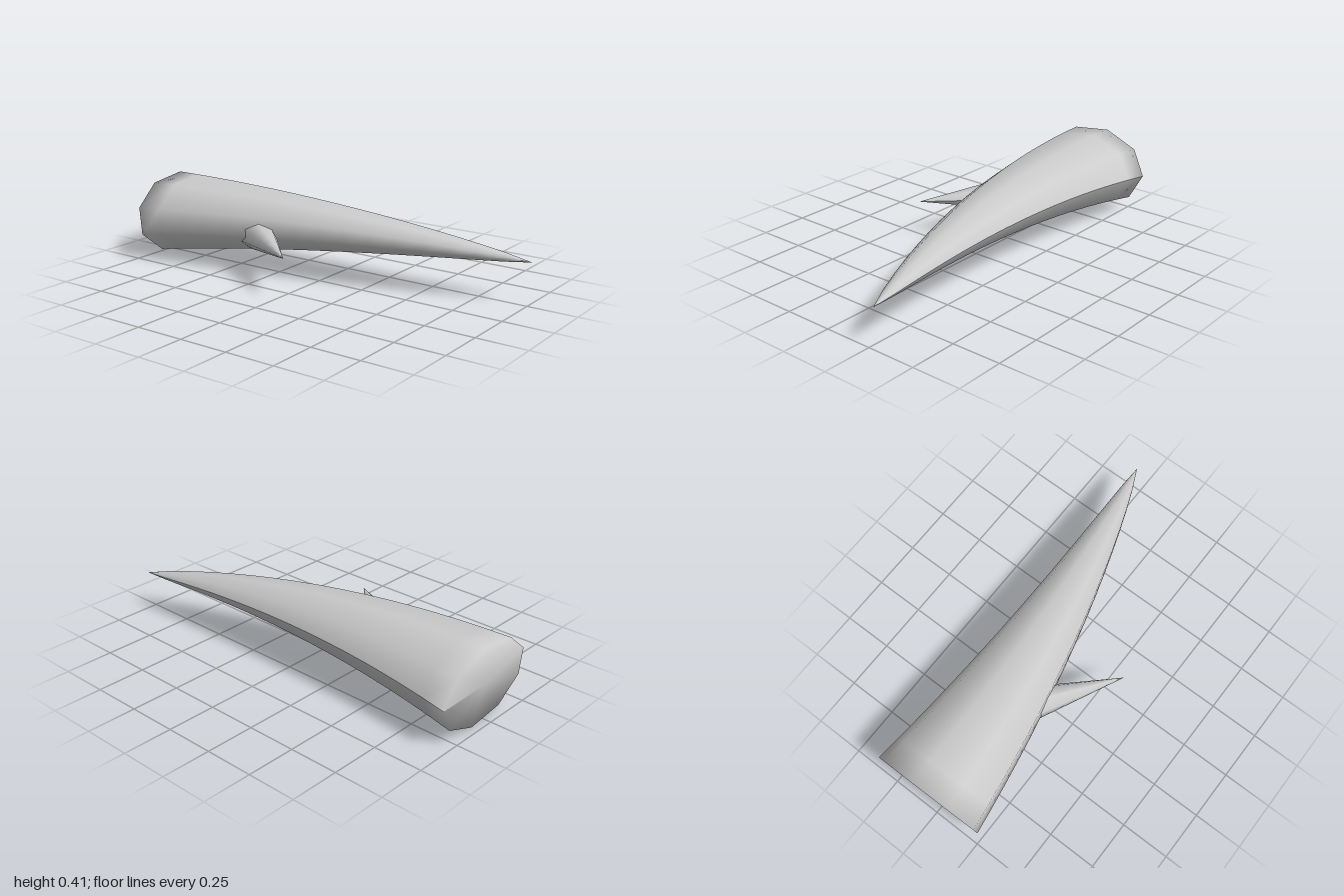
import * as THREE from 'three';

// Tapered spike swept along a path from base (t = 0) to tip (t = 1),
// with an open seam at angle 0 and a base cap sharing the rim's vertices.
function spikeGeometry(centre, taper, rx, ry, sides, segments) {
  const pos = [], index = [];
  const cols = sides + 1;
  const yAxis = new THREE.Vector3(0, 1, 0);
  for (let i = 0; i <= segments; i++) {
    const t = i / segments;
    const c = centre(t);
    const T = centre(t + 0.001).sub(centre(t - 0.001)).normalize();
    const side = new THREE.Vector3().crossVectors(yAxis, T).normalize();
    const up = new THREE.Vector3().crossVectors(T, side);
    const k = taper(t);
    for (let j = 0; j < cols; j++) {
      const a = (j / sides) * Math.PI * 2;
      const p = c.clone()
        .addScaledVector(side, Math.cos(a) * rx * k)
        .addScaledVector(up, Math.sin(a) * ry * k);
      pos.push(p.x, p.y, p.z);
    }
  }
  for (let i = 0; i < segments; i++) {
    for (let j = 0; j < sides; j++) {
      const a = i * cols + j, b = a + 1, d = a + cols, e = d + 1;
      index.push(a, b, d);
      if (i < segments - 1) index.push(b, e, d);
    }
  }
  // Base cap
  const c0 = centre(0);
  const mid = pos.length / 3;
  pos.push(c0.x, c0.y, c0.z);
  for (let j = 0; j < sides; j++) index.push(mid, j + 1, j);

  const g = new THREE.BufferGeometry();
  g.setAttribute('position', new THREE.Float32BufferAttribute(pos, 3));
  g.setIndex(index);
  g.computeVertexNormals();
  return g;
}

export function createModel() {
  const group = new THREE.Group();
  group.name = 'branchedHorn';
  const material = new THREE.MeshStandardMaterial({ color: 0xcccccc });

  // Main horn: gently bowed in plan and in height
  const hornPath = (t) => {
    const z = -0.982 + 1.982 * t;
    return new THREE.Vector3(0.105 + 0.1225 * z + 0.058 * z * z, 0.257 - 0.05 * z * z, z);
  };
  const hornTaper = (t) => Math.pow(Math.max(0, 1 - t), 0.83);
  const horn = new THREE.Mesh(spikeGeometry(hornPath, hornTaper, 0.3, 0.208, 9, 16), material);
  horn.name = 'horn';
  group.add(horn);

  // Side spike: straight cone growing out of the horn's right side
  const tip = new THREE.Vector3(-0.34, 0.207, 0.04);
  const base = tip.clone().addScaledVector(new THREE.Vector3(0.592, 0, -0.806), 0.55);
  const spikePath = (t) => base.clone().lerp(tip, t);
  const spike = new THREE.Mesh(spikeGeometry(spikePath, (t) => 1 - t, 0.101, 0.101, 7, 8), material);
  spike.name = 'sideSpike';
  group.add(spike);

  return group;
}
